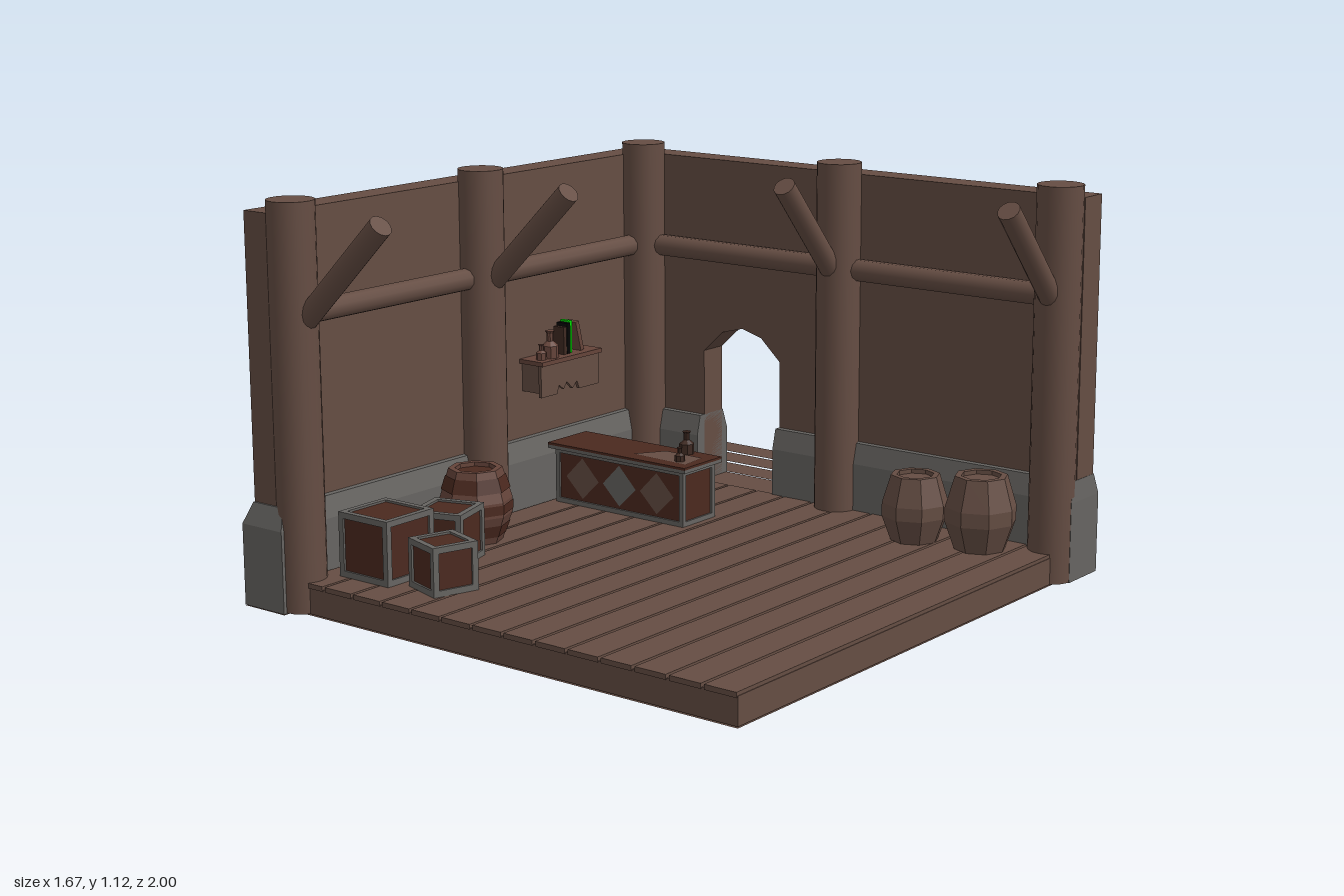
import * as THREE from 'three';

const paint = (color, name) => {
  const m = new THREE.MeshStandardMaterial({ color });
  m.name = name;
  return m;
};
// Hard-edged copy of a geometry
const facet = g => {
  const f = g.toNonIndexed();
  f.computeVertexNormals();
  return f;
};

export function createModel() {
  const wood = paint(0x654d43, 'wood');
  wood.side = THREE.DoubleSide;
  const redWood = paint(0x65443a, 'redWood');
  const panel = paint(0x4b291f, 'redPanel');
  const stone = paint(0x666461, 'stone');
  const dark = paint(0x3f2a22, 'darkWood');
  const green = paint(0x00ee00, 'green');
  const black = paint(0x050505, 'black');
  const purple = paint(0xb800b8, 'purple');

  const room = new THREE.Group();
  room.name = 'tavernRoom';

  const add = (name, geo, mat, parent = room) => {
    const m = new THREE.Mesh(geo, mat);
    m.name = name;
    parent.add(m);
    return m;
  };
  // Box given by its min and max corners
  const box = (name, x0, x1, y0, y1, z0, z1, mat, parent) => {
    const m = add(name, new THREE.BoxGeometry(x1 - x0, y1 - y0, z1 - z0), mat, parent);
    m.position.set((x0 + x1) / 2, (y0 + y1) / 2, (z0 + z1) / 2);
    return m;
  };
  // Round bar between two points
  const bar = (name, a, b, r, sides, mat) => {
    const p = new THREE.Vector3(...a), q = new THREE.Vector3(...b);
    const m = add(name, new THREE.CylinderGeometry(r, r, p.distanceTo(q), sides), mat);
    m.position.copy(p).add(q).multiplyScalar(0.5);
    m.quaternion.setFromUnitVectors(new THREE.Vector3(0, 1, 0), q.sub(p).normalize());
    return m;
  };
  // Convex flat face, corners counter-clockwise
  const face = (name, pts, mat) => {
    const g = new THREE.BufferGeometry();
    g.setAttribute('position', new THREE.Float32BufferAttribute(pts.flat(), 3));
    const idx = [];
    for (let i = 1; i < pts.length - 1; i++) idx.push(0, i, i + 1);
    g.setIndex(idx);
    g.computeVertexNormals();
    return add(name, g, mat);
  };
  const extrude = (pts, depth) => new THREE.ExtrudeGeometry(
    new THREE.Shape(pts.map(p => new THREE.Vector2(...p))), { depth, bevelEnabled: false });
  const lathe = (name, pts, sides, mat, x, y, z) => {
    const g = new THREE.LatheGeometry(pts.map(p => new THREE.Vector2(...p)), sides);
    const m = add(name, facet(g), mat);
    m.position.set(x, y, z);
    return m;
  };

  // Floor: sub-frame and boards with narrow gaps
  box('floorFrame', -0.69, 0.797, 0.004, 0.08, -0.54, 0.957, wood);
  for (let i = 0; i < 14; i++) {
    const x = -0.684 + i * 0.106;
    box('floorBoard', x + 0.005, x + 0.101, 0.076, 0.09, -0.54, 0.96, wood);
  }

  // Back wall with an arched doorway
  add('backWall', extrude([[-0.815, 0.02], [-0.48, 0.02], [-0.48, 0.49], [-0.41, 0.555], [-0.335, 0.575],
    [-0.265, 0.555], [-0.195, 0.49], [-0.195, 0.02], [0.825, 0.02], [0.825, 1.08], [-0.815, 1.08]], 0.09), wood)
    .position.z = -0.655;
  box('leftWall', -0.815, -0.725, 0.02, 1.08, -0.57, 0.975, wood);

  // Stone footing: block with a tapered cap, inset per side
  const footing = (name, x0, x1, z0, z1, left, right, back, front) => {
    box(name, x0, x1, 0.002, 0.23, z0, z1, stone);
    const g = new THREE.BoxGeometry(x1 - x0, 0.06, z1 - z0).translate((x0 + x1) / 2, 0.26, (z0 + z1) / 2);
    const p = g.attributes.position;
    for (let i = 0; i < p.count; i++) {
      if (p.getY(i) < 0.26) continue;
      p.setX(i, p.getX(i) < (x0 + x1) / 2 ? x0 + left : x1 - right);
      p.setZ(i, p.getZ(i) < (z0 + z1) / 2 ? z0 + back : z1 - front);
    }
    add(name + 'Cap', facet(g), stone);
  };
  footing('sideFooting', -0.84, -0.69, -0.68, 1, 0.025, 0.015, 0.025, 0.02);
  footing('backFooting', -0.84, -0.48, -0.68, -0.53, 0.025, 0, 0.022, 0.015);
  footing('backFooting', -0.195, 0.83, -0.68, -0.53, 0, 0.004, 0.022, 0.015);
  box('doorSillStone', -0.48, -0.195, 0.002, 0.07, -0.68, -0.53, stone);
  box('doorSill', -0.48, -0.195, 0.07, 0.085, -0.678, -0.53, wood);

  // Painted outer face of the side wall
  const X = -0.817, B = -0.842;
  face('wallBlackBand', [[X, 0.86, -0.655], [X, 0.77, 0.977], [X, 1.08, 0.977], [X, 1.08, -0.655]], black);
  face('wallGreen', [[X, 0.292, -0.655], [X, 0.292, 0.977], [X, 0.77, 0.977], [X, 0.86, -0.655]], green);
  face('chamferGreen', [[B, 0.23, -0.68], [B, 0.23, 1], [X, 0.292, 0.98], [X, 0.292, -0.657]], green);
  face('footingGreen', [[B, 0.23, -0.68], [B, 0.09, 1], [B, 0.23, 1]], green);
  face('footingBrown', [[B, 0, -0.68], [B, 0, 0.92], [B, 0.097, 0.92], [B, 0.23, -0.68]], redWood);
  face('footingBlack', [[B, 0, 0.92], [B, 0, 1], [B, 0.09, 1], [B, 0.097, 0.92]], black);

  // Undersides
  const under = (name, x0, x1, z0, z1, mat) =>
    face(name, [[x0, 0, z0], [x1, 0, z0], [x1, 0, z1], [x0, 0, z1]], mat);
  under('undersideBlack', -0.6, 0.83, -0.68, -0.53, black);
  under('undersidePurple', -0.84, -0.6, -0.68, -0.53, purple);
  under('undersidePurple', -0.84, -0.69, -0.53, -0.48, purple);
  under('undersideSide', -0.84, -0.69, -0.48, 1, wood);
  under('undersideFloor', -0.69, 0.797, -0.53, 0.957, wood);

  // Posts, rails and diagonal braces
  for (const [x, z] of [[-0.69, 0.925], [-0.69, 0.195], [-0.69, -0.535], [0.035, -0.535], [0.765, -0.535]])
    bar('post', [x, 0.004, z], [x, 1.115, z], 0.065, 18, wood);
  bar('backRail', [-0.69, 0.805, -0.543], [0.765, 0.805, -0.543], 0.032, 10, wood);
  bar('sideRail', [-0.697, 0.805, -0.535], [-0.697, 0.805, 0.925], 0.032, 10, wood);
  for (const x of [0.035, 0.765]) bar('backBrace', [x, 0.77, -0.53], [x, 1.075, -0.265], 0.032, 14, wood);
  for (const z of [0.19, 0.92]) bar('sideBrace', [-0.68, 0.77, z], [-0.367, 1.075, z], 0.032, 14, wood);

  // Flat planks outside the doorway
  for (const z of [-0.955, -0.85, -0.744]) {
    const g = new THREE.PlaneGeometry(0.74, 0.092).rotateX(-Math.PI / 2);
    add('outsidePlank', g, wood).position.set(-0.4, 0.08, z);
  }

  // Barrels
  const barrel = (x, z, r, h, mat, lidMat) => {
    lathe('barrel', [[0, 0], [r * 0.72, 0], [r, h * 0.38], [r, h * 0.58], [r * 0.74, h], [r * 0.56, h],
      [r * 0.56, h - 0.015]], 8, mat, x, 0.09, z);
    lathe('barrelLid', [[r * 0.58, h - 0.012], [0, h - 0.012]], 8, lidMat, x, 0.09, z);
  };
  barrel(0.41, -0.385, 0.095, 0.19, wood, wood);
  barrel(0.605, -0.42, 0.102, 0.21, wood, wood);
  barrel(-0.57, 0.37, 0.103, 0.21, redWood, panel);
  // Red stripes around the open barrel
  for (const [r0, h0, r1, h1] of [[0.083, 0.02, 0.096, 0.055], [0.105, 0.088, 0.105, 0.115], [0.098, 0.15, 0.085, 0.19]])
    lathe('barrelStripe', [[r0, h0], [r1, h1]], 8, panel, -0.57, 0.09, 0.37);

  // Framed box: red core inside grey edge bars
  const framed = (name, w, h, d, t) => {
    const g = new THREE.Group();
    g.name = name;
    room.add(g);
    box('panels', -w / 2 + 0.006, w / 2 - 0.006, 0.006, h - 0.006, -d / 2 + 0.006, d / 2 - 0.006, panel, g);
    for (const s of [0, 1]) for (const u of [0, 1]) {
      const x = s ? w / 2 - t : -w / 2, z = u ? d / 2 - t : -d / 2, y = s ? h - t : 0;
      box('uprightEdge', x, x + t, 0, h, z, z + t, stone, g);
      box('longEdge', -w / 2, w / 2, y, y + t, z, z + t, stone, g);
      const xe = u ? w / 2 - t : -w / 2;
      box('shortEdge', xe, xe + t, y, y + t, -d / 2, d / 2, stone, g);
    }
    return g;
  };
  for (const [x, z, s, a] of [[-0.527, 0.77, 0.18, 0], [-0.495, 0.565, 0.15, 0.3], [-0.32, 0.77, 0.135, -0.3]]) {
    const c = framed('crate', s, s, s, 0.017);
    c.position.set(x, 0.09, z);
    c.rotation.y = a;
  }

  // Counter with worn top and patterned sides
  framed('counter', 0.48, 0.165, 0.15, 0.014).position.set(-0.42, 0.09, -0.152);
  box('counterEdge', -0.68, -0.165, 0.253, 0.263, -0.24, -0.065, stone);
  box('counterTop', -0.68, -0.165, 0.263, 0.27, -0.24, -0.065, panel);
  face('wornPatch', [[-0.385, 0.272, -0.105], [-0.185, 0.272, -0.095], [-0.195, 0.272, -0.185],
    [-0.33, 0.272, -0.19]], wood);
  for (let i = 0; i < 3; i++) {
    const x = -0.56 + i * 0.14;
    face('sideDiamond', [[x - 0.062, 0.172, -0.081], [x, 0.112, -0.081], [x + 0.062, 0.172, -0.081],
      [x, 0.235, -0.081]], i % 2 ? stone : wood);
  }

  // Wall shelf with a ragged hanging board
  box('shelf', -0.73, -0.635, 0.515, 0.528, -0.265, 0.005, redWood);
  const ragged = extrude([[0, 0.42], [0.07, 0.42], [0.08, 0.445], [0.1, 0.43], [0.115, 0.45], [0.14, 0.425],
    [0.16, 0.445], [0.17, 0.42], [0.26, 0.42], [0.26, 0.52], [0, 0.52]], 0.01).rotateY(Math.PI / 2);
  add('shelfBoard', ragged, wood).position.set(-0.655, 0, 0);
  for (const z of [-0.245, -0.015]) box('shelfBracket', -0.73, -0.65, 0.43, 0.517, z - 0.008, z + 0.008, wood);

  // Bottles and books
  const bottle = (x, y, z, r, h, mat) => lathe('bottle', [[0, 0], [r, 0], [r, h * 0.45], [r * 0.4, h * 0.62],
    [r * 0.4, h * 0.9], [r * 0.6, h], [0, h]], 8, mat, x, y, z);
  bottle(-0.27, 0.27, -0.21, 0.022, 0.066, dark);
  bottle(-0.225, 0.27, -0.12, 0.015, 0.042, dark);
  bottle(-0.67, 0.528, -0.07, 0.025, 0.08, redWood);
  bottle(-0.67, 0.528, -0.03, 0.016, 0.045, redWood);
  box('greenBook', -0.7, -0.665, 0.528, 0.625, -0.163, -0.15, green);
  box('blackBook', -0.7, -0.66, 0.528, 0.62, -0.15, -0.135, black);
  box('brownBook', -0.7, -0.66, 0.528, 0.61, -0.133, -0.12, dark);
  box('leaningBook', -0.7, -0.66, 0.528, 0.62, -0.2, -0.186, redWood).rotation.x = 0.25;

  return room;
}
